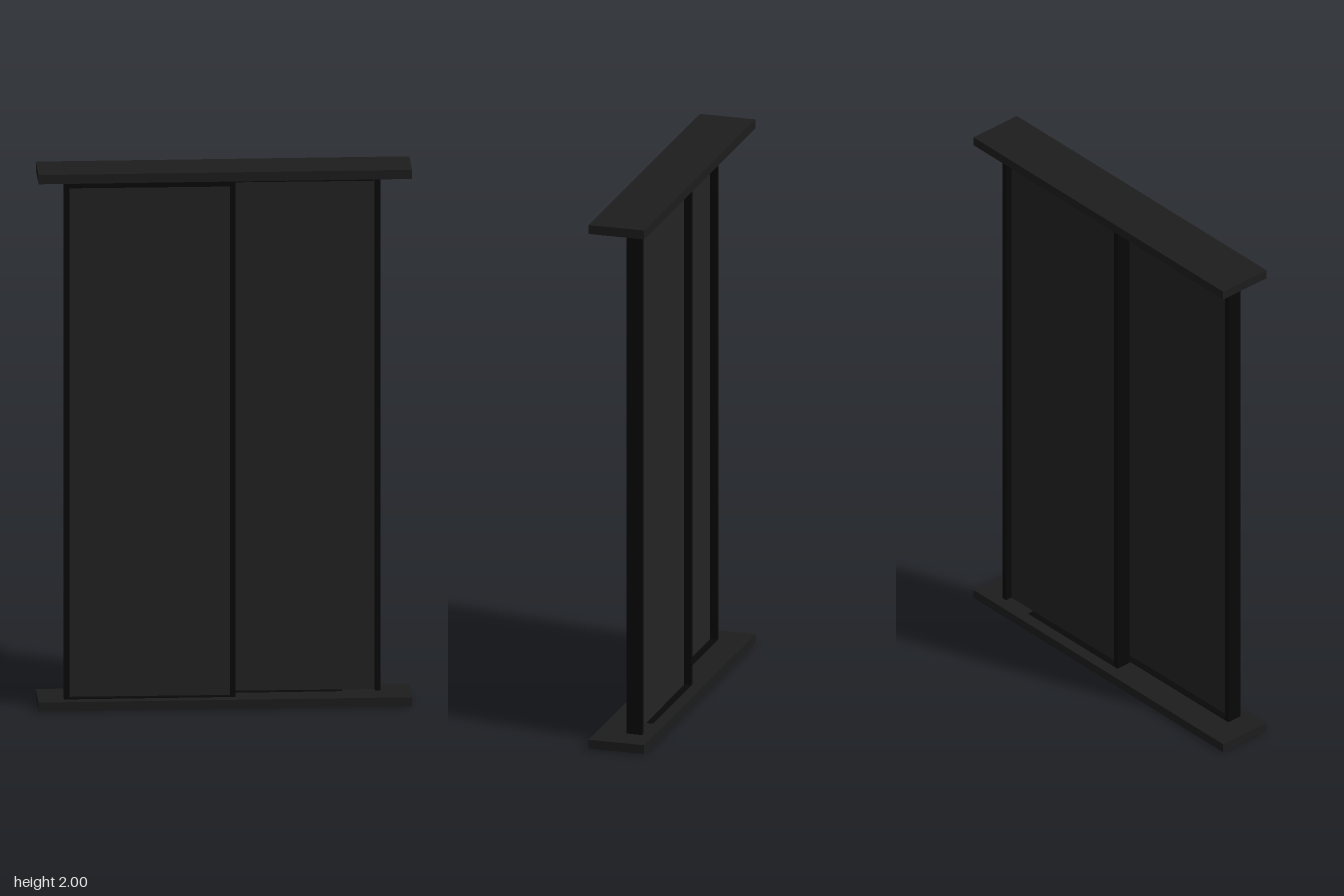
import * as THREE from 'three';

const AXIS = -0.008; // the two doors are half-turn copies about this x

function material(color, side = THREE.FrontSide) {
  const m = new THREE.MeshStandardMaterial({ side });
  m.color.set(color);
  return m;
}

// Box given by its limits on each axis
function addBox(parent, name, mat, [x0, x1], [y0, y1], [z0, z1]) {
  const mesh = new THREE.Mesh(new THREE.BoxGeometry(x1 - x0, y1 - y0, z1 - z0), mat);
  mesh.name = name;
  mesh.position.set((x0 + x1) / 2, (y0 + y1) / 2, (z0 + z1) / 2);
  parent.add(mesh);
}

// Box without its underside: a shallow downturned tray
function trayGeometry(w, h, d) {
  const geo = new THREE.BoxGeometry(w, h, d);
  const index = Array.from(geo.index.array);
  index.splice(18, 6); // drop the -y face
  geo.setIndex(index);
  geo.clearGroups();
  return geo;
}

// Sliding door: two stiles, two rails and a thin panel in the middle of their depth
function slidingDoor(name, frame, panel) {
  const door = new THREE.Group();
  door.name = name;
  const depth = [0.003, 0.061], tall = [0.008, 1.972];
  addBox(door, 'outerStile', frame, [-0.574, -0.555], tall, depth);
  addBox(door, 'innerStile', frame, [0.028, 0.046], tall, depth);
  addBox(door, 'topRail', frame, [-0.555, 0.028], [1.935, 1.972], depth);
  addBox(door, 'bottomRail', frame, [-0.555, 0.028], [0.008, 0.039], depth);
  addBox(door, 'panel', panel, [-0.555, 0.028], [0.039, 1.935], [0.029, 0.035]);
  door.position.x = AXIS;
  return door;
}

export function createModel() {
  const root = new THREE.Group();
  root.name = 'slidingDoors';
  const frame = material(0x080808);
  const plate = material(0x1d1d1d, THREE.DoubleSide);
  const panel = material(0x232323);

  // Top and bottom tracks, hollow underneath and very slightly askew
  for (const [name, y] of [['bottomTrack', 0.0205], ['topTrack', 1.981]]) {
    const mesh = new THREE.Mesh(trayGeometry(1.352, 0.034, 0.211), plate);
    mesh.name = name;
    mesh.position.y = y;
    mesh.rotation.set(0, -0.003, 0.0035);
    root.add(mesh);
  }

  // Front door on the right, back door on the left, overlapping in the middle
  const frontDoor = slidingDoor('frontDoor', frame, panel);
  const backDoor = slidingDoor('backDoor', frame, panel);
  backDoor.rotation.y = Math.PI;
  root.add(frontDoor, backDoor);
  return root;
}
